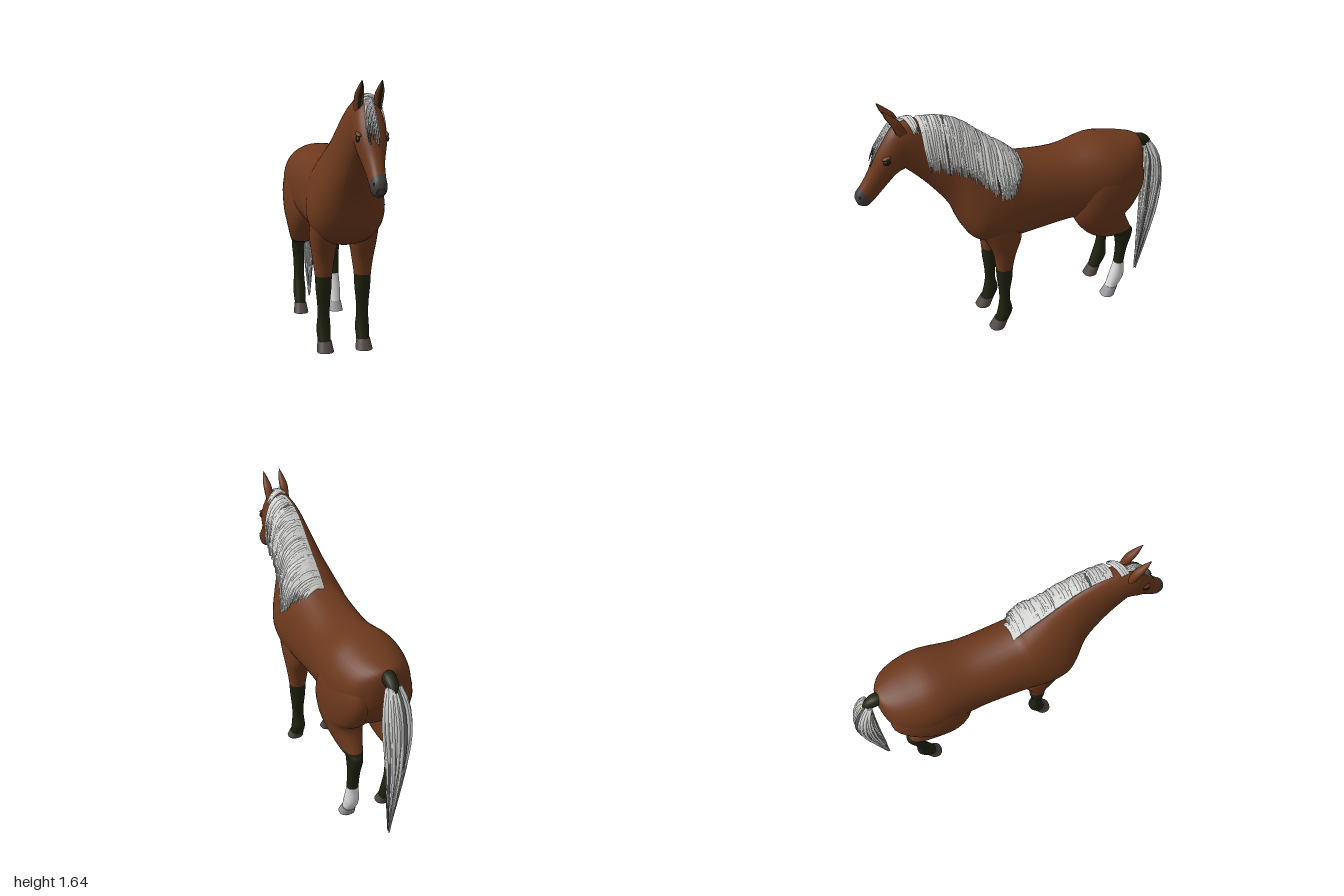
import * as THREE from 'three';
import { mergeGeometries } from 'three/addons/utils/BufferGeometryUtils.js';

const paint = (name, color) => {
  const m = new THREE.MeshStandardMaterial({ color });
  m.name = name;
  return m;
};
const coat = paint('chestnut coat', 0x6d391d);
const dark = paint('dark points', 0x1f210f);
const white = paint('white sock', 0xdcdcdc);
const hair = paint('silver hair', 0xdadad8);
const shade = paint('dark hair', 0x5c5e60);
const muzzleGrey = paint('muzzle grey', 0x423e3b);
const hoofBrown = paint('hoof brown', 0x544a46);
const hoofPale = paint('pale hoof', 0x9a9ca2);
const black = paint('eye black', 0x1b1816);

let seed = 7;
const rand = () => (seed = (seed * 16807) % 2147483647) / 2147483647;

// Smooth interpolation of rows of numbers at t, counted in rows
function sample(rows, t) {
  const i = Math.min(Math.floor(t), rows.length - 2), f = t - i;
  const at = k => rows[Math.max(0, Math.min(rows.length - 1, k))];
  return rows[0].map((_, c) => {
    const [a, b, d, e] = [at(i - 1)[c], at(i)[c], at(i + 1)[c], at(i + 2)[c]];
    return b + 0.5 * f * (d - a + f * (2 * a - 5 * b + 4 * d - e + f * (3 * (b - d) + e - a)));
  });
}

// Skin over sections [z1, y1, z2, y2, halfWidth]: two outline points each.
// cuts = [[first section, material], ...]; taper narrows the first outline side.
function loft(name, rows, cuts, { x = 0, taper = () => 0, sub = 4, N = 28 } = {}) {
  const pos = [], idx = [], R = (rows.length - 1) * sub;
  const geo = new THREE.BufferGeometry();
  const round = v => Math.sign(v) * Math.abs(v) ** 0.88;
  const ring = i => {
    const [tz, ty, bz, by, w] = sample(rows, i / sub), k = taper(i / sub);
    for (let j = 0; j < N; j++) {
      const a = j / N * Math.PI * 2, c = round(Math.cos(a)), s = round(Math.sin(a));
      pos.push(x + w * c * (1 - k * s), (ty + by) / 2 + s * (ty - by) / 2, (tz + bz) / 2 + s * (tz - bz) / 2);
    }
    return [x, (ty + by) / 2, (tz + bz) / 2];
  };
  for (let i = 0; i <= R; i++) ring(i);
  for (let i = 0; i < R; i++) for (let j = 0; j < N; j++) {
    const a = i * N + j, b = i * N + (j + 1) % N;
    idx.push(a, b, b + N, a, b + N, a + N);
  }
  cuts.forEach(([s], k) => {
    const from = Math.round(s * sub), to = k + 1 < cuts.length ? Math.round(cuts[k + 1][0] * sub) : R;
    geo.addGroup(from * N * 6, (to - from) * N * 6, k);
  });
  // End caps
  [0, R].forEach((i, end) => {
    const base = pos.length / 3, centre = ring(i), start = idx.length;
    pos.push(...centre);
    for (let j = 0; j < N; j++) {
      const a = base + j, b = base + (j + 1) % N;
      idx.push(base + N, ...(end ? [a, b] : [b, a]));
    }
    geo.addGroup(start, N * 3, end ? cuts.length - 1 : 0);
  });
  geo.setAttribute('position', new THREE.Float32BufferAttribute(pos, 3));
  geo.setIndex(idx);
  geo.computeVertexNormals();
  const mesh = new THREE.Mesh(geo, cuts.map(c => c[1]));
  mesh.name = name;
  return mesh;
}

// Tapering lock of hair along points
function lock(points, r0, r1, n = 10, sides = 5) {
  const path = new THREE.CatmullRomCurve3(points.map(p => new THREE.Vector3(...p)));
  const g = new THREE.TubeGeometry(path, n, 1, sides), p = g.attributes.position, v = new THREE.Vector3();
  for (let i = 0; i < p.count; i++) {
    const t = Math.floor(i / (sides + 1)) / n, c = path.getPointAt(t);
    v.fromBufferAttribute(p, i).sub(c).multiplyScalar(r0 + (r1 - r0) * t * t).add(c);
    p.setXYZ(i, v.x, v.y, v.z);
  }
  return g;
}

// Bundle of locks; every few locks are dark
function bundle(name, count, every, make) {
  const group = new THREE.Group(), sets = [[], []];
  group.name = name;
  for (let i = 0; i < count; i++) sets[i % every === every - 1 ? 1 : 0].push(make(i, i / (count - 1)));
  sets.forEach((s, k) => {
    const m = new THREE.Mesh(mergeGeometries(s), k ? shade : hair);
    m.name = name + (k ? 'DarkLocks' : 'Locks');
    group.add(m);
  });
  return group;
}

function ball(name, mat, position, scale) {
  const m = new THREE.Mesh(new THREE.SphereGeometry(1, 16, 12), mat);
  m.name = name;
  m.position.set(...position);
  m.scale.set(...scale);
  m.rotation.x = .3;
  return m;
}

export function createModel() {
  const horse = new THREE.Group();
  horse.name = 'horse';

  // Rump, barrel, neck and head in one skin, narrowing towards the crest
  horse.add(loft('body', [
    [-.82, 1.07, -.82, .97, .03], [-.80, 1.115, -.80, .85, .10],
    [-.74, 1.135, -.74, .74, .18], [-.62, 1.16, -.62, .68, .228],
    [-.48, 1.177, -.48, .67, .235], [-.25, 1.145, -.25, .665, .206],
    [.02, 1.18, .04, .645, .208], [.10, 1.23, .20, .65, .216],
    [.20, 1.31, .33, .70, .205], [.28, 1.38, .40, .80, .173],
    [.40, 1.475, .46, .95, .125], [.54, 1.53, .58, 1.12, .10],
    [.68, 1.54, .70, 1.25, .086], [.77, 1.51, .712, 1.255, .085],
    [.85, 1.40, .76, 1.235, .08], [.905, 1.28, .83, 1.16, .053],
    [.955, 1.20, .895, 1.095, .043], [.99, 1.155, .94, 1.065, .041],
    [1, 1.12, .985, 1.08, .022],
  ], [[0, coat], [16.25, muzzleGrey]], { N: 36, taper: t => .36 * Math.exp(-(((t - 8.8) / 2.2) ** 2)) }));

  for (const s of [1, -1]) {
    const tag = s > 0 ? 'Left' : 'Right', sock = s > 0;

    // Front leg and hoof with dark sole
    const front = { x: s * .12 };
    horse.add(loft('front' + tag + 'Leg', [
      [.32, .95, .10, .97, .045], [.325, .80, .06, .80, .079],
      [.27, .68, .05, .68, .081], [.225, .57, .085, .57, .066],
      [.21, .46, .105, .46, .051], [.205, .38, .11, .38, .047],
      [.193, .28, .125, .28, .038], [.19, .20, .125, .20, .037],
      [.20, .13, .11, .12, .042], [.22, .055, .14, .05, .038],
    ], [[0, coat], [4, dark]], front));
    horse.add(loft('front' + tag + 'Hoof', [
      [.225, .064, .138, .056, .042], [.26, 0, .165, 0, .051],
    ], [[0, hoofBrown], [1, black]], front));

    // Hind leg, broadest at the stifle, and hoof with dark sole
    const hind = { x: s * .122, taper: t => -.25 * Math.max(0, 1 - t / 5) };
    horse.add(loft('hind' + tag + 'Leg', [
      [-.43, 1.07, -.68, 1.04, .055], [-.35, .96, -.77, .98, .104],
      [-.312, .85, -.79, .87, .122], [-.303, .73, -.735, .74, .119],
      [-.36, .617, -.67, .665, .102], [-.455, .53, -.722, .53, .066],
      [-.60, .49, -.74, .50, .046], [-.627, .43, -.735, .45, .042],
      [-.635, .36, -.712, .37, .036], [-.63, .25, -.695, .25, .035],
      [-.607, .16, -.70, .14, .041], [-.577, .055, -.652, .05, .036],
    ], [[0, coat], [5, dark], [9, sock ? white : dark]], hind));
    horse.add(loft('hind' + tag + 'Hoof', [
      [-.58, .066, -.66, .058, .04], [-.545, 0, -.637, 0, .049],
    ], [[0, sock ? hoofPale : hoofBrown], [1, black]], { x: s * .122 }));

    // Ear with dark inside
    const ear = (grow, dz) => [
      [.69, 1.50, .74, 1.48, .02], [.722, 1.565, .768, 1.55, .025],
      [.765, 1.607, .798, 1.60, .017], [.808, 1.644, .812, 1.643, .002],
    ].map(([a, b, c, d, w]) => [a + dz, b, c + dz, d, w * grow]);
    const side = tag.toLowerCase(), earShape = { x: s * .053, N: 14 };
    horse.add(loft(side + 'Ear', ear(1, 0), [[0, coat]], earShape));
    horse.add(loft(side + 'EarInside', ear(.55, .004), [[0, dark]], earShape));

    // Eye, brow and nostril
    horse.add(ball(side + 'Eye', black, [s * .078, 1.348, .818], [.01, .016, .022]));
    horse.add(ball(side + 'Brow', coat, [s * .071, 1.372, .815], [.016, .011, .03]));
    horse.add(ball(side + 'Nostril', black, [s * .032, 1.135, .977], [.006, .01, .006]));
  }

  // Mane, swept to the left; rows are [z, crest, hem, outward reach]
  const maneRows = [
    [.04, 1.185, 1.13, .11], [.09, 1.235, 1.10, .18], [.15, 1.285, 1.03, .215], [.21, 1.33, 1.025, .2],
    [.30, 1.405, 1.11, .178], [.40, 1.485, 1.20, .16], [.50, 1.525, 1.245, .15], [.61, 1.54, 1.28, .135],
  ];
  horse.add(bundle('mane', 150, 21, (i, t) => {
    const [z, top, hem, out] = sample(maneRows, t * (maneRows.length - 1));
    const dz = (rand() - .5) * .025, lift = (rand() - .5) * .008, end = hem + (rand() - .35) * .05;
    const x = out + lift, y = k => top + (end - top) * k;
    return lock([[-.012, top - .005, z], [.03, top + .008 + lift, z], [x * .62, y(.14), z + dz * .3],
      [x * .86, y(.5), z + dz * .7], [x, end, z + dz - .01]], .013, .004);
  }));

  // Poll tuft falling back and to the left
  horse.add(bundle('pollTuft', 12, 5, (i, t) => lock([[-.03, 1.54, .70 - t * .03],
    [.01, 1.56, .685 - t * .03], [.06, 1.54, .67 - t * .03], [.095, 1.48 + rand() * .03, .655 - t * .02]], .011, .004)));

  // Narrow forelock
  horse.add(bundle('forelock', 15, 2, (i, t) => {
    const x = (t - .5) * .055 - .008, q = rand();
    return lock([[x * .4, 1.55, .69], [x * .7, 1.538, .755], [x, 1.452, .823], [x * 1.2, 1.388, .863],
      [x * 1.1, 1.31 + q * .08, .9 - q * .04]], .006, .002);
  }));

  // Dock and tail
  const dock = new THREE.Mesh(lock([[0, 1.07, -.76], [0, 1.075, -.825], [0, 1.04, -.875], [0, .96, -.90]], .043, .01, 12, 14), dark);
  dock.name = 'dock';
  horse.add(dock);
  horse.add(bundle('tail', 90, 12, i => {
    const a = i * 2.39996, r = Math.sqrt((i + .5) / 90), x = Math.cos(a) * r, b = .5 - .5 * Math.sin(a) * r;
    const end = .02 + (1 - r * .3) * rand() ** 1.4 * .45, drop = 1 - end;
    const mix = (p, q) => p + (q - p) * b;
    return lock([[x * .04, 1.055, mix(-.855, -.885)], [x * .07, .97, mix(-.87, -.945)],
      [x * .08, 1 - drop * .22, mix(-.872, -.99)], [x * .06, 1 - drop * .45, mix(-.876, -.99)],
      [x * .034 - .004, 1 - drop * .72, mix(-.876, -.945)], [x * .006 - .01, end, mix(-.873, -.89)]], .011, .002, 16);
  }));

  return horse;
}
